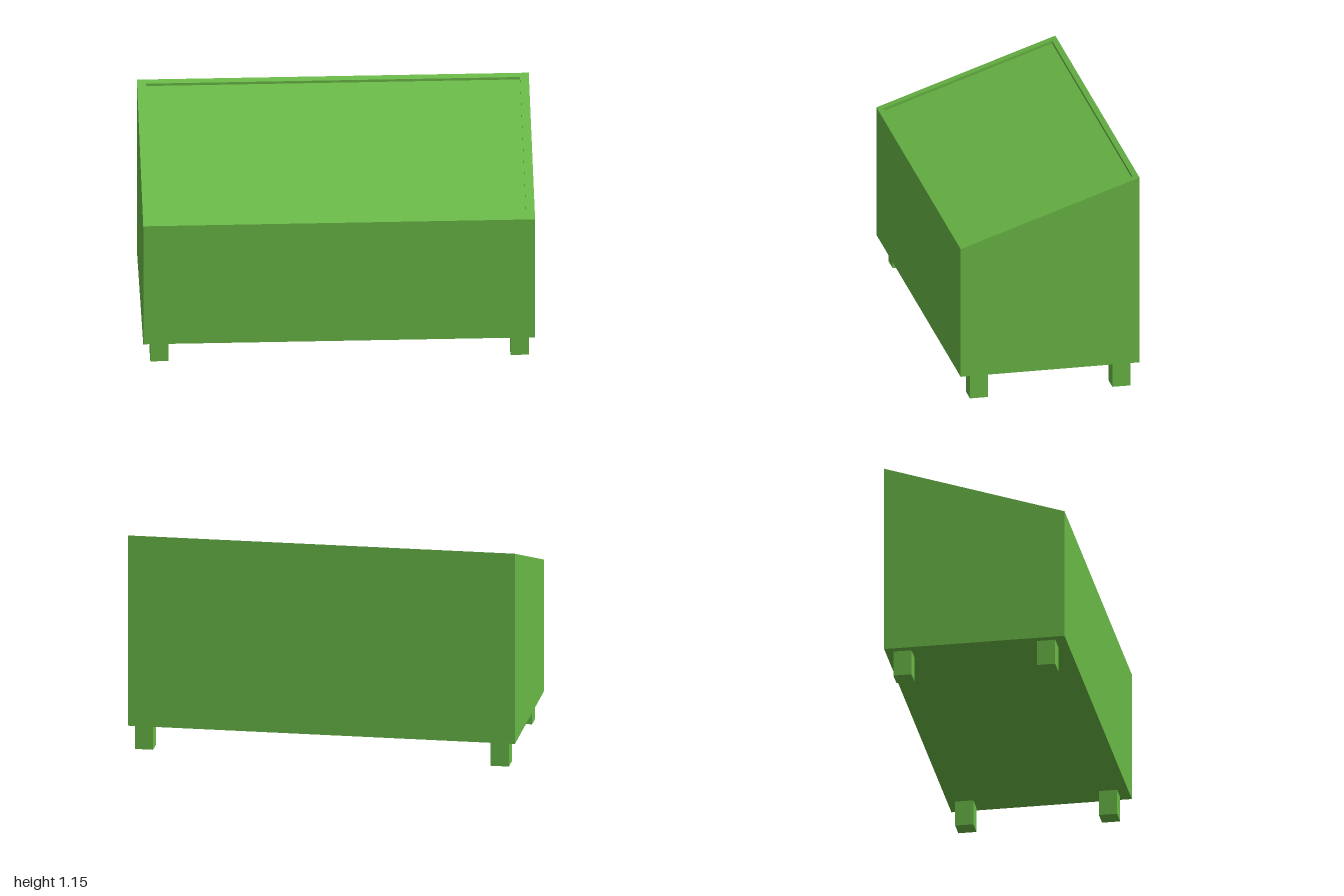
import * as THREE from 'three';

const W = 2, Z = 0.467, BASE = 0.135, FRONT_Y = 0.836, BACK_Y = 1.15, RECESS = 0.014;
const slopeY = (z) => FRONT_Y + (BACK_Y - FRONT_Y) * (Z - z) / (2 * Z);

// closed rectangle, x and y half sizes
function rect(path, x, y) {
  path.moveTo(-x, -y);
  path.lineTo(x, -y);
  path.lineTo(x, y);
  path.lineTo(-x, y);
  path.closePath();
  return path;
}

export function createModel() {
  const group = new THREE.Group();
  const green = new THREE.MeshStandardMaterial({ color: 0x6aba47 });
  green.name = 'green';

  const add = (name, geometry) => {
    const mesh = new THREE.Mesh(geometry, green);
    mesh.name = name;
    group.add(mesh);
    return mesh;
  };

  // bin body: side profile swept across the width, its top is the sunken lid panel
  const side = new THREE.Shape([
    new THREE.Vector2(-Z, BASE),
    new THREE.Vector2(Z, BASE),
    new THREE.Vector2(Z, BACK_Y - RECESS),
    new THREE.Vector2(-Z, FRONT_Y - RECESS),
  ]);
  const body = new THREE.ExtrudeGeometry(side, { depth: W, bevelEnabled: false });
  body.translate(0, 0, -W / 2).rotateY(Math.PI / 2);
  add('body', body);

  // raised rim around the lid, sheared to follow the slope
  const outline = rect(new THREE.Shape(), W / 2, Z);
  outline.holes.push(rect(new THREE.Path(), 0.955, 0.44));
  const rim = new THREE.ExtrudeGeometry(outline, { depth: RECESS, bevelEnabled: false });
  rim.rotateX(-Math.PI / 2);
  const p = rim.attributes.position;
  for (let i = 0; i < p.count; i++) {
    p.setY(i, p.getY(i) - RECESS + slopeY(p.getZ(i)));
  }
  rim.computeVertexNormals();
  add('rim', rim);

  // four short square legs
  for (const x of [-0.915, 0.923]) {
    for (const z of [0.365, -0.379]) {
      const leg = add('leg', new THREE.BoxGeometry(0.094, BASE, 0.094));
      leg.position.set(x, BASE / 2, z);
    }
  }
  return group;
}
